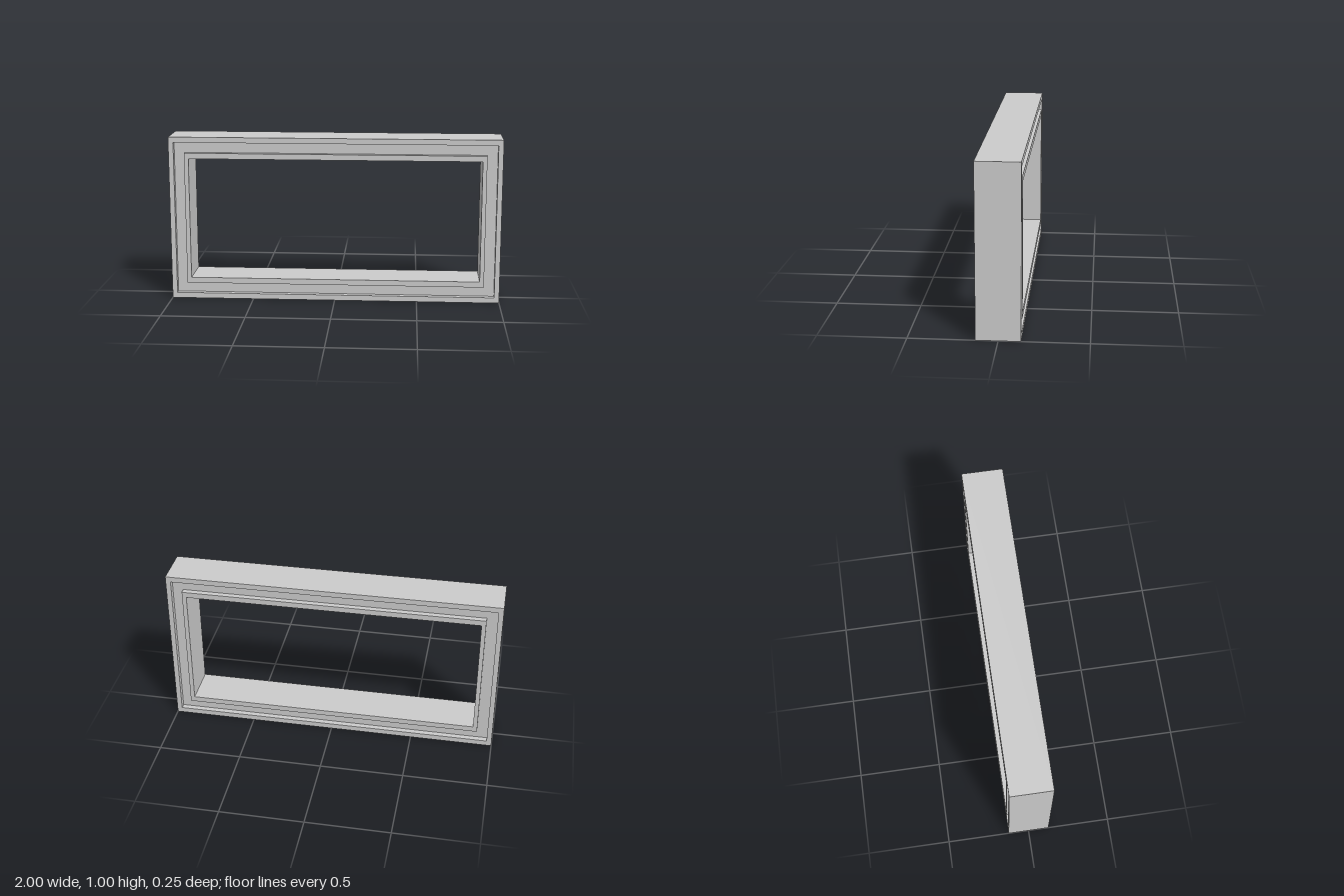
import * as THREE from 'three';

const HALF_DEPTH = 0.125;
const GROOVE_Z = 0.092;

// Insets from the outer edge [x, y]: outer rim, groove edges, opening
const OUTER = [0, 0], GROOVE_OUT = [0.03, 0.033], GROOVE_IN = [0.094, 0.097], OPENING = [0.12, 0.131];

// Sweeps a closed cross-section round the rectangle with mitred corners
function mitredFrame(profile, width, height) {
  const corners = [[1, -1], [1, 1], [-1, 1], [-1, -1]];
  const point = ([sx, sy], [[ix, iy], z]) =>
    [sx * (width / 2 - ix), height / 2 + sy * (height / 2 - iy), z];
  const positions = [];
  corners.forEach((c, i) => {
    const d = corners[(i + 1) % 4];
    profile.forEach((a, j) => {
      const b = profile[(j + 1) % profile.length];
      const ca = point(c, a), da = point(d, a), db = point(d, b), cb = point(c, b);
      positions.push(...ca, ...da, ...db, ...ca, ...db, ...cb);
    });
  });
  const geometry = new THREE.BufferGeometry();
  geometry.setAttribute('position', new THREE.Float32BufferAttribute(positions, 3));
  geometry.computeVertexNormals();
  return geometry;
}

export function createModel() {
  const group = new THREE.Group();
  group.name = 'rectangularFrame';

  // Front half of the section, then the same half mirrored to the back
  const front = [
    [OUTER, HALF_DEPTH], [GROOVE_OUT, HALF_DEPTH], [GROOVE_OUT, GROOVE_Z],
    [GROOVE_IN, GROOVE_Z], [GROOVE_IN, HALF_DEPTH], [OPENING, HALF_DEPTH],
  ];
  const back = front.map(([inset, z]) => [inset, -z]).reverse();

  const frame = new THREE.Mesh(
    mitredFrame([...front, ...back], 2, 1),
    new THREE.MeshStandardMaterial({ color: 0xcccccc, flatShading: true })
  );
  frame.name = 'groovedFrame';
  group.add(frame);
  return group;
}
